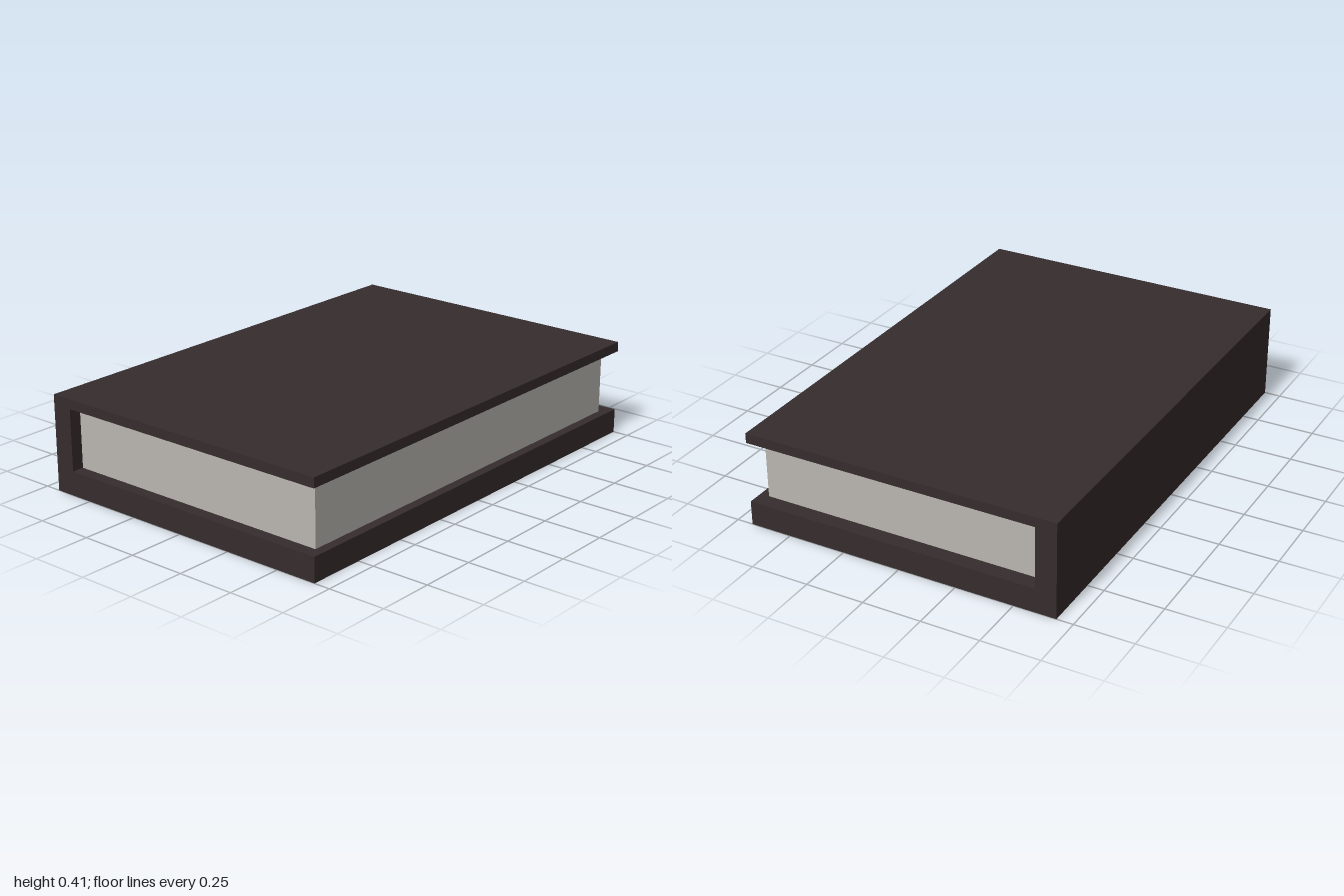
import * as THREE from 'three';

export function createModel() {
  const cover = new THREE.MeshStandardMaterial({ color: 0x362c2d });
  cover.name = 'dark cover';
  const paper = new THREE.MeshStandardMaterial({ color: 0xbab6b2 });
  paper.name = 'grey paper';

  const book = new THREE.Group();
  book.name = 'book';

  // Cover: one C-shaped section (back board, spine, front board) run along z
  const section = new THREE.Shape([
    [-0.68, 0], [0.68, 0], [0.68, 0.105], [-0.59, 0.105],
    [-0.59, 0.37], [0.68, 0.37], [0.68, 0.412], [-0.68, 0.412],
  ].map(([x, y]) => new THREE.Vector2(x, y)));
  const coverGeometry = new THREE.ExtrudeGeometry(section, { depth: 2, bevelEnabled: false });
  coverGeometry.translate(0, 0, -1);
  const coverMesh = new THREE.Mesh(coverGeometry, cover);
  coverMesh.name = 'cover';
  book.add(coverMesh);

  // Page block, set in from the three open edges
  const pages = new THREE.Mesh(new THREE.BoxGeometry(1.23, 0.265, 1.88), paper);
  pages.name = 'pages';
  pages.position.set(0.025, 0.2375, 0.007);
  book.add(pages);

  return book;
}
